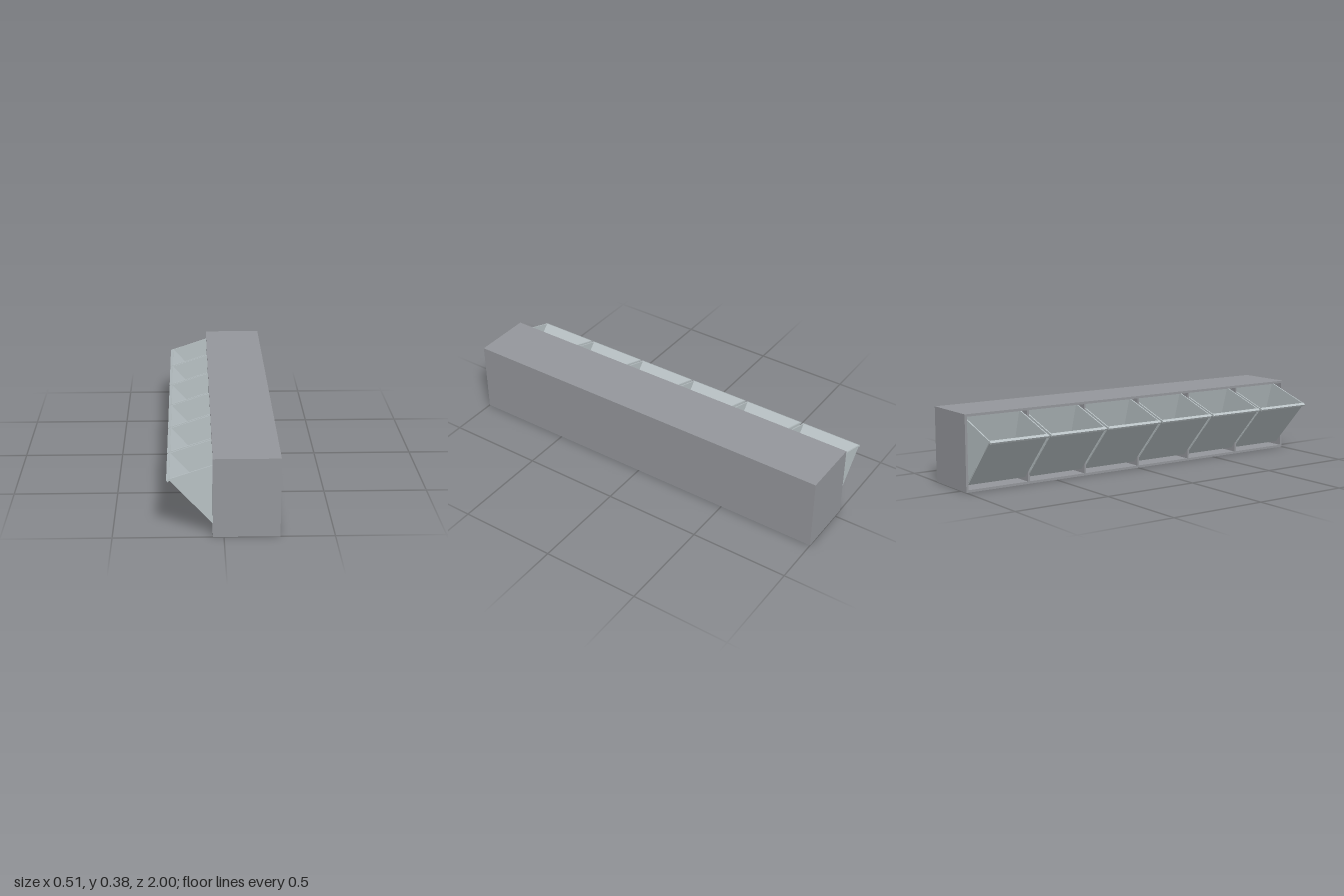
import * as THREE from 'three';

export function createModel() {
  const model = new THREE.Group();
  model.name = 'tiltBinCabinet';

  const cabinetGrey = new THREE.MeshStandardMaterial({ color: 0x94969b });
  cabinetGrey.name = 'cabinet grey';
  const binGrey = new THREE.MeshStandardMaterial({ color: 0xb8c1c4 });
  binGrey.name = 'pale bin grey';

  const BINS = 6, PITCH = 0.3285, BIN_W = 0.315, WALL = 0.012;
  const X0 = -0.05, X1 = 0.253, H = 0.375;

  // Axis-aligned box given by its x, y and z ranges
  function block(parent, name, x0, x1, y0, y1, z0, z1) {
    const mesh = new THREE.Mesh(new THREE.BoxGeometry(x1 - x0, y1 - y0, z1 - z0), cabinetGrey);
    mesh.position.set((x0 + x1) / 2, (y0 + y1) / 2, (z0 + z1) / 2);
    mesh.name = name;
    parent.add(mesh);
  }

  // Flat plate running between two profile points, centred on z = 0
  function plate(parent, name, a, b, thickness, width) {
    const dx = b[0] - a[0], dy = b[1] - a[1];
    const mesh = new THREE.Mesh(new THREE.BoxGeometry(Math.hypot(dx, dy), thickness, width), binGrey);
    mesh.position.set((a[0] + b[0]) / 2, (a[1] + b[1]) / 2, 0);
    mesh.rotation.z = Math.atan2(dy, dx);
    mesh.name = name;
    parent.add(mesh);
  }

  // Cabinet shell, open on the bin side
  const cabinet = new THREE.Group();
  cabinet.name = 'cabinet';
  block(cabinet, 'floor', X0, X1, 0, WALL, -1, 1);
  block(cabinet, 'roof', X0, X1, H - WALL, H, -1, 1);
  block(cabinet, 'backPanel', X1 - WALL, X1, WALL, H - WALL, -1, 1);
  for (const s of [-1, 1]) {
    const z = s * (1 - WALL / 2);
    block(cabinet, 'endPanel', X0, X1 - WALL, WALL, H - WALL, z - WALL / 2, z + WALL / 2);
  }

  // Dividers between the compartments
  for (let i = 1; i < BINS; i++) {
    const z = (i - BINS / 2) * PITCH;
    block(cabinet, 'divider', X0, X1 - WALL, WALL, H - WALL, z - 0.005, z + 0.005);
  }
  model.add(cabinet);

  // Side profile of a bin tipped outwards
  const hinge = [-0.025, 0.033], frontTop = [-0.243, 0.273];
  const backTop = [0.012, 0.358], backLow = [0.08, 0.13];
  const outline = [hinge, backLow, backTop, frontTop].map(([x, y]) => new THREE.Vector2(x, y));
  const SIDE = 0.006;
  const sideGeometry = new THREE.ExtrudeGeometry(new THREE.Shape(outline), { depth: SIDE, bevelEnabled: false });

  // Row of open-topped bins
  for (let i = 0; i < BINS; i++) {
    const bin = new THREE.Group();
    bin.name = 'bin';
    for (const z of [-BIN_W / 2, BIN_W / 2 - SIDE]) {
      const side = new THREE.Mesh(sideGeometry, binGrey);
      side.position.z = z;
      side.name = 'binSide';
      bin.add(side);
    }
    plate(bin, 'binFront', hinge, frontTop, 0.006, BIN_W - 0.002);
    plate(bin, 'binBottom', hinge, backLow, 0.006, BIN_W - 0.002);
    plate(bin, 'binBack', backLow, backTop, 0.006, BIN_W - 0.002);
    plate(bin, 'pullLip', [-0.253, 0.263], [-0.239, 0.272], 0.01, BIN_W);
    bin.position.z = (i - (BINS - 1) / 2) * PITCH;
    model.add(bin);
  }

  return model;
}
